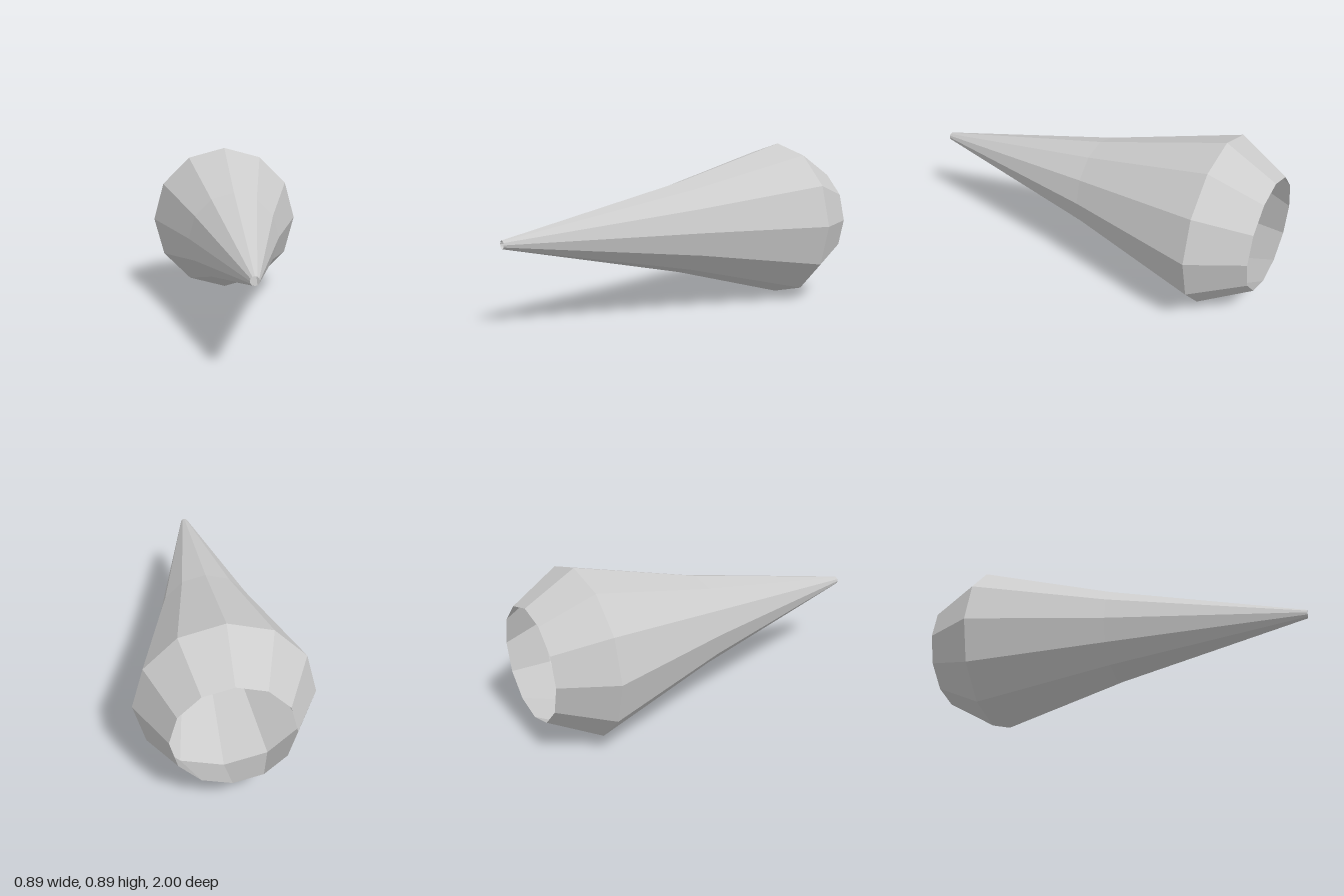
import * as THREE from 'three';

export function createModel() {
  const group = new THREE.Group();
  group.name = 'nozzleCone';

  const grey = new THREE.MeshStandardMaterial({ color: 0xcccccc, flatShading: true, side: THREE.DoubleSide });
  grey.name = 'light grey';

  // Open twelve-sided shell: [radius, z] from the wide back rim to the narrow tip
  const profile = [[0.295, -1], [0.444, -0.735], [0.25, -0.03], [0.022, 1]]
    .map(([r, z]) => new THREE.Vector2(r, z));
  const geometry = new THREE.LatheGeometry(profile, 12);
  geometry.rotateX(Math.PI / 2); // lay the axis along z, tip to the front

  const shell = new THREE.Mesh(geometry, grey);
  shell.name = 'taperedShell';
  shell.position.y = 0.445;
  group.add(shell);
  return group;
}
